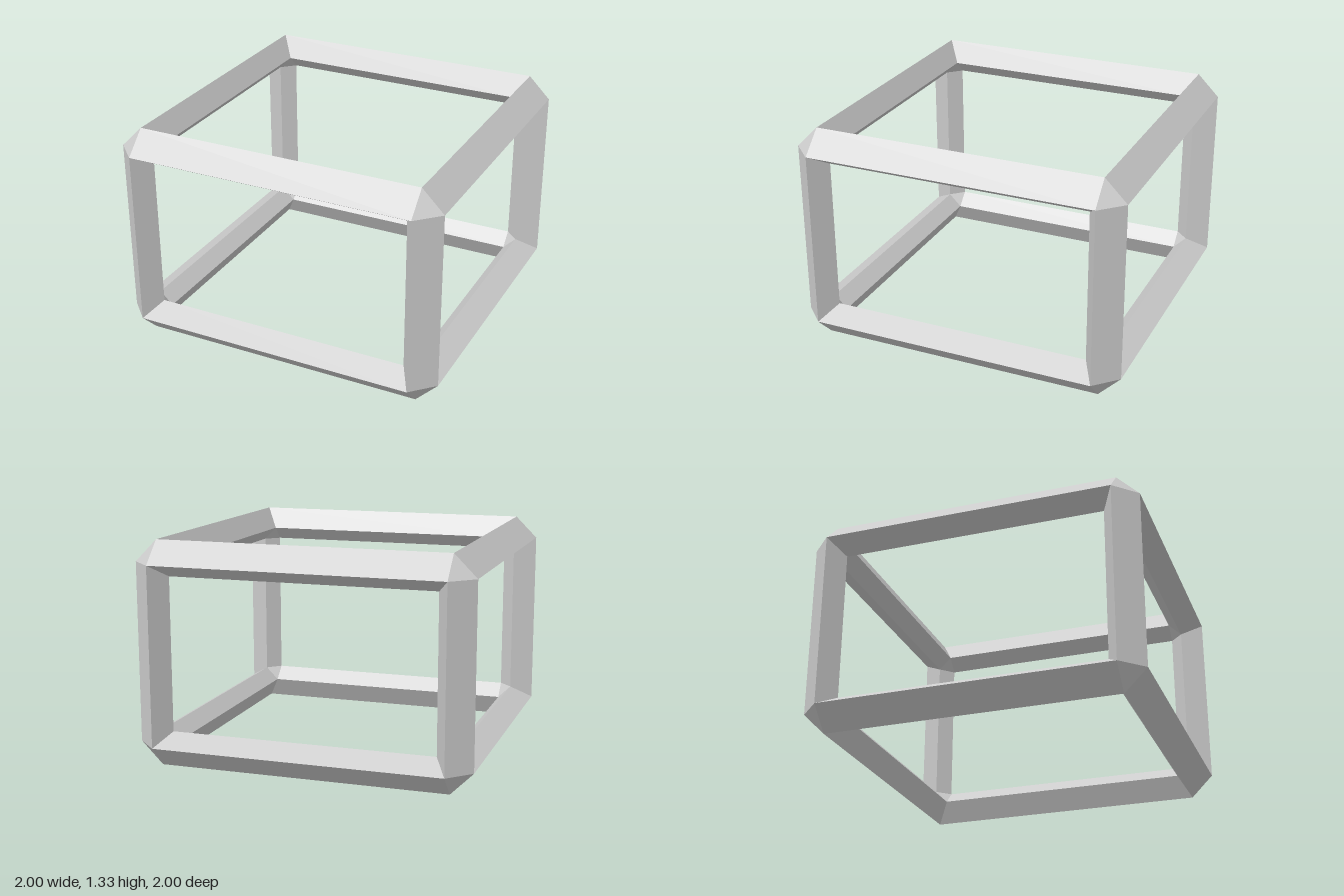
import * as THREE from 'three';

const HALF = [1, 0.667, 1];   // half extents of the frame
const OUTER_CUT = 0.133;      // outer chamfer
const INNER_CUT = 0.209;      // inner rim of each opening
const DEPTH = 0.13;           // depth of each opening's rim
const AXES = ['x', 'y', 'z'];

// Rim point at the corner given by signs, on the side facing the given axis
function rimPoint(signs, axis, inner) {
  const p = signs.map((s, i) => s * (HALF[i] - (i === axis
    ? (inner ? DEPTH : 0)
    : (inner ? INNER_CUT : OUTER_CUT))));
  return new THREE.Vector3(p[0], p[1] + HALF[1], p[2]);
}

// Flat polygons, each turned to face away from the centre of the part
function partMesh(name, faces, material) {
  const all = faces.flat();
  const centre = all.reduce((sum, p) => sum.add(p), new THREE.Vector3()).divideScalar(all.length);
  const positions = [];
  for (const face of faces) {
    const [a, b, c] = face;
    const normal = b.clone().sub(a).cross(c.clone().sub(a));
    const loop = normal.dot(a.clone().sub(centre)) < 0 ? [...face].reverse() : face;
    for (let i = 1; i < loop.length - 1; i++) {
      for (const p of [loop[0], loop[i], loop[i + 1]]) positions.push(p.x, p.y, p.z);
    }
  }
  const geometry = new THREE.BufferGeometry();
  geometry.setAttribute('position', new THREE.Float32BufferAttribute(positions, 3));
  geometry.computeVertexNormals();
  const mesh = new THREE.Mesh(geometry, material);
  mesh.name = name;
  return mesh;
}

export function createModel() {
  const group = new THREE.Group();
  group.name = 'openBoxFrame';
  const material = new THREE.MeshStandardMaterial({ color: 0xcccccc, flatShading: true });

  // Twelve beams with a trapezoid section, four along each axis
  for (let k = 0; k < 3; k++) {
    const i = (k + 1) % 3, j = (k + 2) % 3;
    for (const si of [-1, 1]) for (const sj of [-1, 1]) {
      const section = (end) => {
        const s = [];
        s[i] = si; s[j] = sj; s[k] = end;
        return [rimPoint(s, i, false), rimPoint(s, j, false), rimPoint(s, j, true), rimPoint(s, i, true)];
      };
      const a = section(-1), b = section(1);
      const faces = a.map((p, n) => [p, a[(n + 1) % 4], b[(n + 1) % 4], b[n]]);
      group.add(partMesh(k === 1 ? 'post' : AXES[k] + 'Rail', faces, material));
    }
  }

  // Eight corners: an outer and an inner triangle joining three beams
  for (const x of [-1, 1]) for (const y of [-1, 1]) for (const z of [-1, 1]) {
    const triangle = (inner) => [0, 1, 2].map((axis) => rimPoint([x, y, z], axis, inner));
    group.add(partMesh('corner', [triangle(false), triangle(true)], material));
  }
  return group;
}
